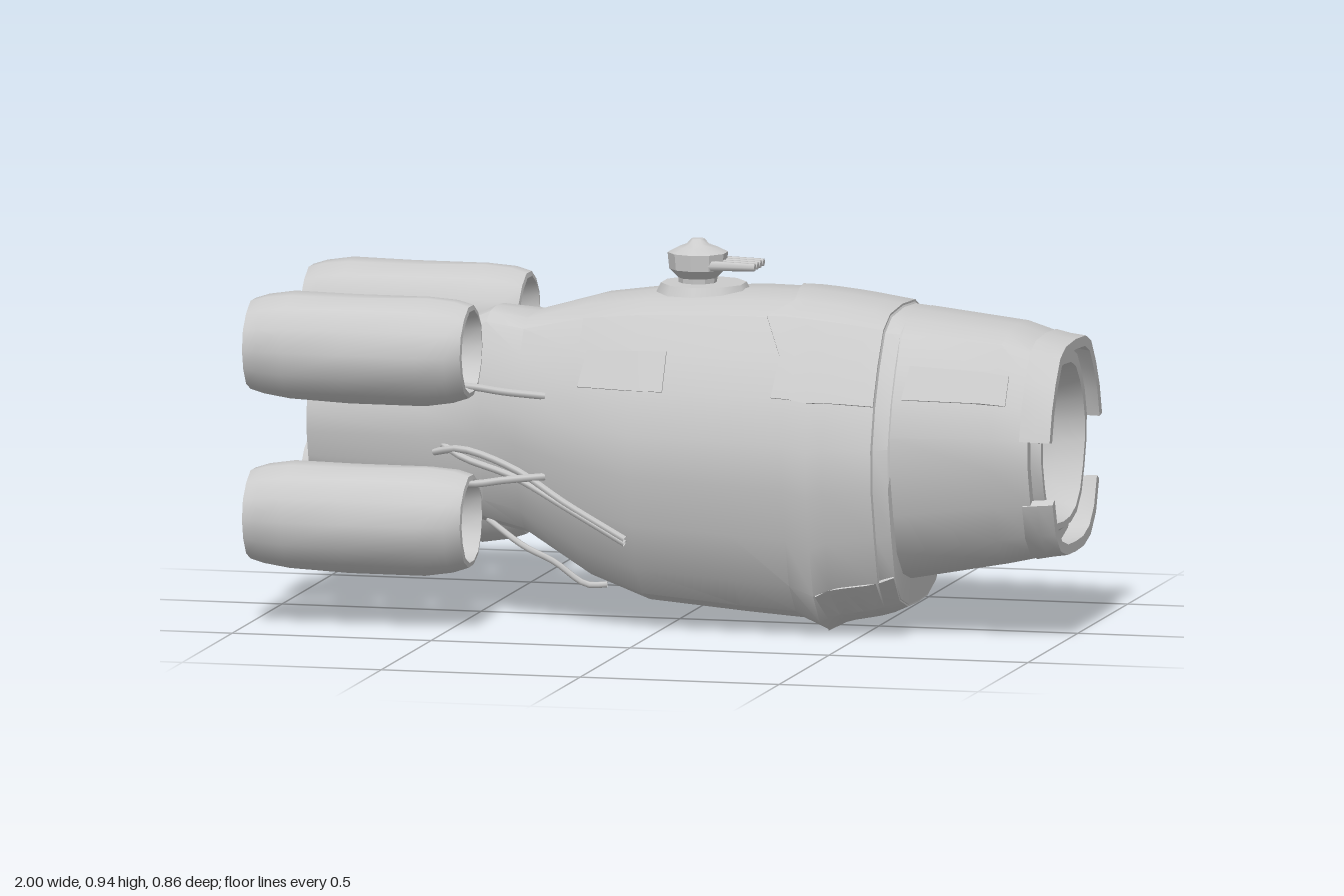
import * as THREE from 'three';
import { toCreasedNormals, mergeGeometries } from 'three/addons/utils/BufferGeometryUtils.js';

const material = new THREE.MeshStandardMaterial({ color: 0xcccccc, side: THREE.DoubleSide });

// Half cross-section: [width fraction, height fraction], top to bottom
const HALF = [[0, 1], [0.38, 0.99], [0.59, 0.95], [0.77, 0.84], [0.91, 0.72], [1, 0.58],
  [0.99, 0.44], [0.89, 0.28], [0.77, 0.13], [0.57, 0.04], [0.31, 0.005], [0, 0]];
const PROFILE = [...HALF, ...HALF.slice(1, -1).reverse().map(([w, h]) => [-w, h])];
const N = PROFILE.length;

// Hull stations: x, top, bottom, half width
const STATIONS = [
  [-0.9, 0.66, 0.3, 0.155], [-0.6, 0.7, 0.27, 0.16], [-0.46, 0.765, 0.235, 0.18],
  [-0.36, 0.755, 0.215, 0.22], [-0.2, 0.8, 0.12, 0.29], [-0.05, 0.82, 0.065, 0.322],
  [0.2, 0.83, 0.045, 0.344], [0.34, 0.828, 0.035, 0.342], [0.4, 0.822, 0.008, 0.338],
  [0.44, 0.818, 0.032, 0.335], [0.56, 0.8, 0.055, 0.326], [0.563, 0.796, 0.058, 0.317],
  [0.6, 0.792, 0.075, 0.312], [0.605, 0.792, 0.14, 0.31], [0.85, 0.765, 0.185, 0.279],
  [0.94, 0.737, 0.205, 0.265], [0.995, 0.73, 0.213, 0.26]];

// Ring of points; round blends the hull profile towards an ellipse
function ring(x, top, bottom, half, round = 0) {
  return PROFILE.map(([w, h], j) => {
    const a = (j / N) * Math.PI * 2;
    const ww = THREE.MathUtils.lerp(w, Math.sin(a), round);
    const hh = THREE.MathUtils.lerp(h, 0.5 + Math.cos(a) / 2, round);
    return new THREE.Vector3(x, bottom + (top - bottom) * hh, half * ww);
  });
}

// Skin through closed rings with equal point counts
function loft(rings) {
  const n = rings[0].length, index = [];
  for (let i = 0; i < rings.length - 1; i++) {
    for (let j = 0; j < n; j++) {
      const a = i * n + j, b = i * n + (j + 1) % n;
      index.push(a, b, b + n, a, b + n, a + n);
    }
  }
  const geometry = new THREE.BufferGeometry().setFromPoints(rings.flat());
  geometry.setIndex(index);
  return toCreasedNormals(geometry, 0.5);
}

// Point on the hull surface, pushed outwards by out
function hullPoint(x, j, out) {
  let k = 0;
  while (k < STATIONS.length - 2 && STATIONS[k + 1][0] < x) k++;
  const A = STATIONS[k], B = STATIONS[k + 1];
  const t = (x - A[0]) / (B[0] - A[0]);
  const [top, bottom, half] = [1, 2, 3].map(c => A[c] + (B[c] - A[c]) * t);
  return ring(x, top + out, bottom - out, half + out)[(j + N) % N];
}

// Armour plate following the hull from x0 to x1 and profile index j0 to j1
function plate(x0, x1, j0, j1, out, inner, steps = 6, ragged = 0) {
  const rings = [];
  for (let j = j0; j <= j1; j++) {
    const start = x0 + ragged * Math.sin(j * 2.3);
    const xs = Array.from({ length: steps + 1 }, (_, s) => start + (x1 - start) * s / steps);
    rings.push([...xs.map(x => hullPoint(x, j, out)),
      ...xs.reverse().map(x => hullPoint(x, j, inner))]);
  }
  const cap = r => {
    const c = r.reduce((s, p) => s.add(p), new THREE.Vector3()).divideScalar(r.length);
    return r.map(() => c.clone());
  };
  return loft([cap(rings[0]), ...rings, cap(rings[rings.length - 1])]);
}

function pipe(points, radius) {
  const curve = new THREE.CatmullRomCurve3(points.map(p => new THREE.Vector3(...p)));
  return new THREE.TubeGeometry(curve, 16, radius, 6);
}

export function createModel() {
  const model = new THREE.Group();
  const add = (name, geometry, parent = model) => {
    const mesh = new THREE.Mesh(geometry, material);
    mesh.name = name;
    parent.add(mesh);
    return mesh;
  };

  // Hull, with a recessed stern and a hollow bowl in the nose
  add('hull', loft([
    ring(-0.86, 0.48, 0.48, 0), ring(-0.86, 0.6, 0.36, 0.1, 0.5), ring(-0.895, 0.63, 0.33, 0.125, 0.3),
    ...STATIONS.slice(0, -1).map(s => ring(...s)),
    ring(0.94, 0.71, 0.25, 0.238, 0.1), ring(0.965, 0.7, 0.268, 0.23, 0.2),
    ring(0.965, 0.67, 0.283, 0.212, 0.3), ring(0.9, 0.645, 0.3, 0.19, 0.5),
    ring(0.85, 0.61, 0.33, 0.15, 0.8), ring(0.835, 0.55, 0.39, 0.08, 1), ring(0.83, 0.47, 0.47, 0)]));

  // Protective lips around the nose, open at the sides
  add('upperNoseLip', plate(0.92, 0.995, -5, 5, 0.003, -0.022, 2));
  add('lowerNoseLip', plate(0.92, 0.995, 7, 15, 0.003, -0.022, 2));

  // Raised armour plates
  add('roofPlate', plate(0.3, 0.56, -4, 4, 0.005, -0.02, 6, 0.03));
  add('bellyPlate', plate(0.41, 0.598, 8, 14, 0.004, -0.02, 6, 0.012));
  for (const [j0, j1] of [[3, 4], [N - 4, N - 3]]) {
    add('shoulderPlate', plate(-0.2, 0.03, j0, j1, 0.005, -0.02, 6, 0.04));
    add('noseShoulderPlate', plate(0.62, 0.88, j0, j1, 0.004, -0.02, 4, 0.03));
  }

  // Broken spars inside the nose bowl, longest towards the sides
  const spars = [];
  for (let i = 0; i < 28; i++) {
    const a = ((i + 0.35 * Math.sin(i * 3.7)) / 28) * Math.PI * 2;
    const length = 0.03 + 0.04 * Math.abs(Math.sin(a)) + 0.03 * Math.abs(Math.sin(i * 5.1));
    const spar = new THREE.ConeGeometry(0.007, length, 4);
    spar.rotateX(0.35 * Math.sin(i * 1.7));
    spar.translate(0.862, -0.155 + length / 2, 0);
    spar.rotateX(a);
    spars.push(spar.translate(0, 0.47, 0));
  }
  add('noseSpars', mergeGeometries(spars));

  // Four hollow, dented engines with struts to the hull
  const shell = [[0, -0.75], [0.05, -0.76], [0.085, -0.8], [0.1, -0.91], [0.104, -0.99], [0.113, -1],
    [0.124, -0.965], [0.134, -0.9], [0.136, -0.75], [0.136, -0.56], [0.128, -0.49], [0.116, -0.452],
    [0.104, -0.45], [0.094, -0.5], [0.082, -0.58], [0.05, -0.62], [0, -0.63]];
  const engine = new THREE.LatheGeometry(shell.map(p => new THREE.Vector2(...p)), 14);
  engine.rotateZ(-Math.PI / 2);
  const pos = engine.attributes.position;
  for (let i = 0; i < pos.count; i++) {
    const a = Math.atan2(pos.getZ(i), pos.getY(i));
    const dent = 0.985 + 0.03 * Math.sin(3 * a + pos.getX(i) * 11) * Math.cos(2 * a);
    pos.setY(i, pos.getY(i) * dent);
    pos.setZ(i, pos.getZ(i) * dent);
  }
  const engineGeometry = toCreasedNormals(engine, 0.7);
  for (const side of [1, -1]) {
    for (const up of [1, -1]) {
      const y = up > 0 ? 0.69 : 0.272;
      const group = new THREE.Group();
      group.name = up > 0 ? 'upperEngine' : 'lowerEngine';
      model.add(group);
      add('engineShell', engineGeometry, group).position.set(0, y, side * 0.291);
      add('strut', pipe([[-0.52, y - up * 0.09, side * 0.24], [-0.45, y - up * 0.09, side * 0.262],
        [-0.38, y - up * 0.1, side * 0.255], [-0.28, y - up * 0.11, side * 0.235]], 0.009), group);
    }
    // Cables drooping along the flanks
    for (let k = 0; k < 2; k++) {
      const d = k * 0.02;
      add('flankCable', pipe([[-0.58 + d, 0.42 + d, side * 0.15], [-0.5, 0.435 - d, side * 0.19],
        [-0.36, 0.395 - d, side * 0.222], [-0.22, 0.32 - d / 2, side * 0.262],
        [-0.07, 0.24 - d / 2, side * 0.275]], 0.009));
    }
    // Loose wires beneath the stern
    add('looseWire', pipe([[-0.46, 0.25, side * 0.09], [-0.36, 0.19, side * 0.12],
      [-0.29, 0.155, side * 0.11], [-0.21, 0.1, side * 0.1], [-0.16, 0.1, side * 0.09]], 0.008));
  }

  // Roof turret: flared neck, squat head and four barrels
  const turret = new THREE.Group();
  turret.name = 'turret';
  model.add(turret);
  const base = add('turretBase', new THREE.CylinderGeometry(0.105, 0.12, 0.03, 10), turret);
  base.position.set(0.06, 0.825, 0);
  const head = add('turretHead', toCreasedNormals(new THREE.LatheGeometry(
    [[0, -0.07], [0.046, -0.07], [0.048, -0.05], [0.07, -0.028], [0.074, 0.012], [0.05, 0.024],
      [0.028, 0.032], [0.016, 0.045], [0, 0.047]]
      .map(p => new THREE.Vector2(...p)), 10), 0.6), turret);
  head.position.set(0.045, 0.902, 0);
  for (const z of [-0.045, -0.015, 0.015, 0.045]) {
    const barrel = add('barrel', new THREE.CylinderGeometry(0.01, 0.014, 0.12, 6), turret);
    barrel.rotation.z = -Math.PI / 2;
    barrel.position.set(0.14, 0.887, z);
  }
  return model;
}
